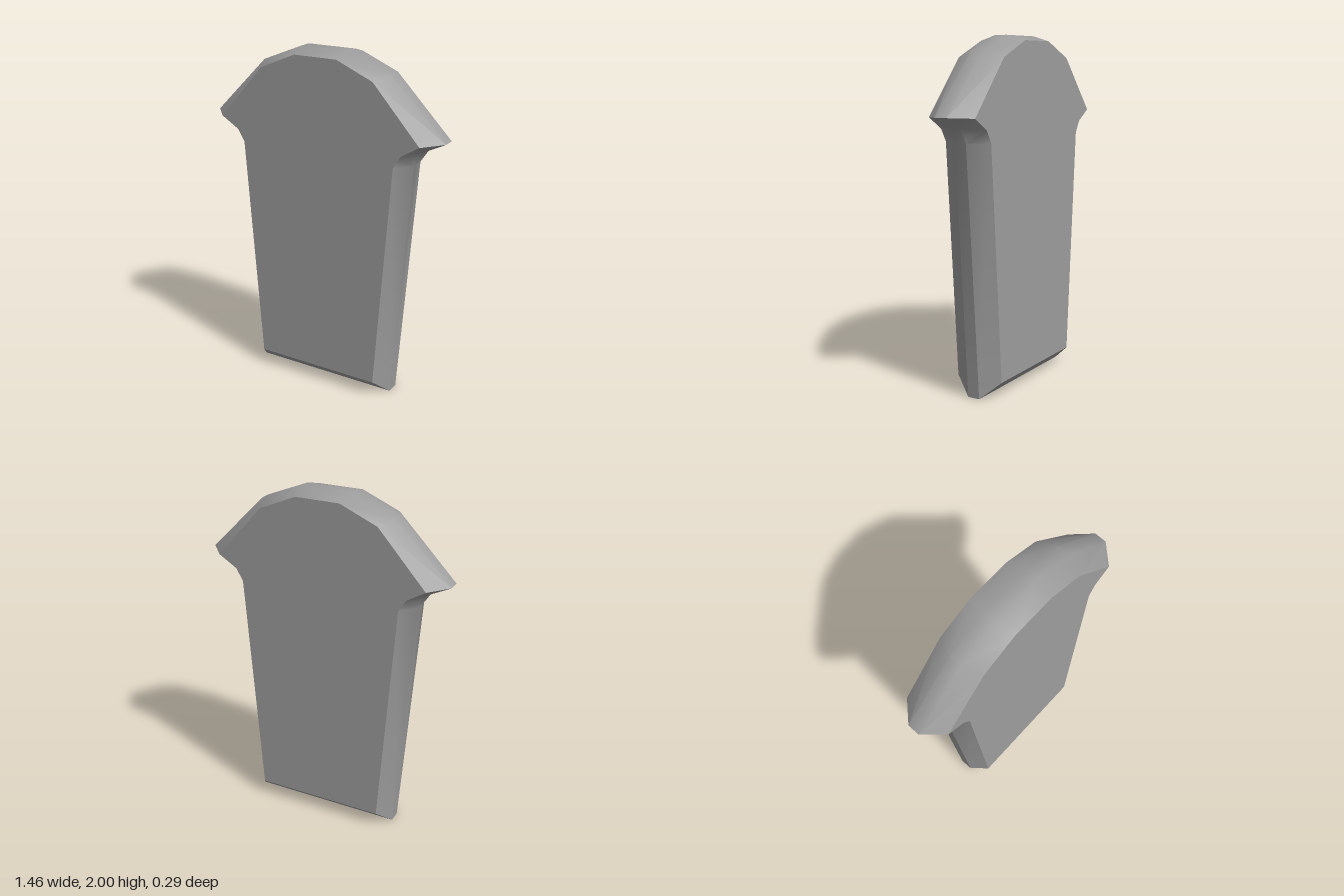
import * as THREE from 'three';
import { toCreasedNormals } from 'three/addons/utils/BufferGeometryUtils.js';

// Mirror a right-hand profile into a closed counter-clockwise outline
function outline(half) {
  const right = half.map(([x, y]) => new THREE.Vector2(x, y));
  const left = half.map(([x, y]) => new THREE.Vector2(-x, y)).reverse();
  return [...right, ...left];
}

// Skin between outline sections running front to back, closed by flat caps
function loft(sections) {
  const n = sections[0].points.length;
  const positions = [];
  const index = [];
  for (const { points, z } of sections) {
    for (const p of points) positions.push(p.x, p.y, z);
  }
  for (let s = 0; s < sections.length - 1; s++) {
    for (let i = 0; i < n; i++) {
      const j = (i + 1) % n;
      const a = s * n + i, b = s * n + j, c = a + n, d = b + n;
      // Diagonals mirror left to right and front to back
      if ((i < n / 2) === (s === 0)) index.push(a, c, b, b, c, d);
      else index.push(a, c, d, a, d, b);
    }
  }
  const last = (sections.length - 1) * n;
  for (const [a, b, c] of THREE.ShapeUtils.triangulateShape(sections[0].points, [])) {
    index.push(a, b, c, last + a, last + c, last + b);
  }
  const geometry = new THREE.BufferGeometry();
  geometry.setAttribute('position', new THREE.Float32BufferAttribute(positions, 3));
  geometry.setIndex(index);
  return toCreasedNormals(geometry, 0.54);
}

export function createModel() {
  const group = new THREE.Group();
  group.name = 'domedSlab';

  // Outer rim and the smaller bevelled face, from foot to crown
  const rim = outline([[0.445, 0], [0.555, 1.43], [0.608, 1.51], [0.731, 1.57], [0.4, 1.9], [0.15, 2]]);
  const face = outline([[0.383, 0.095], [0.48, 1.43], [0.522, 1.5], [0.63, 1.565], [0.35, 1.877], [0.13, 1.97]]);

  const slab = new THREE.Mesh(
    loft([
      { points: face, z: 0.145 },
      { points: rim, z: 0.036 },
      { points: rim, z: -0.036 },
      { points: face, z: -0.145 },
    ]),
    new THREE.MeshStandardMaterial({ color: 0x9d9d9d })
  );
  slab.name = 'bevelledSlab';
  group.add(slab);
  return group;
}
